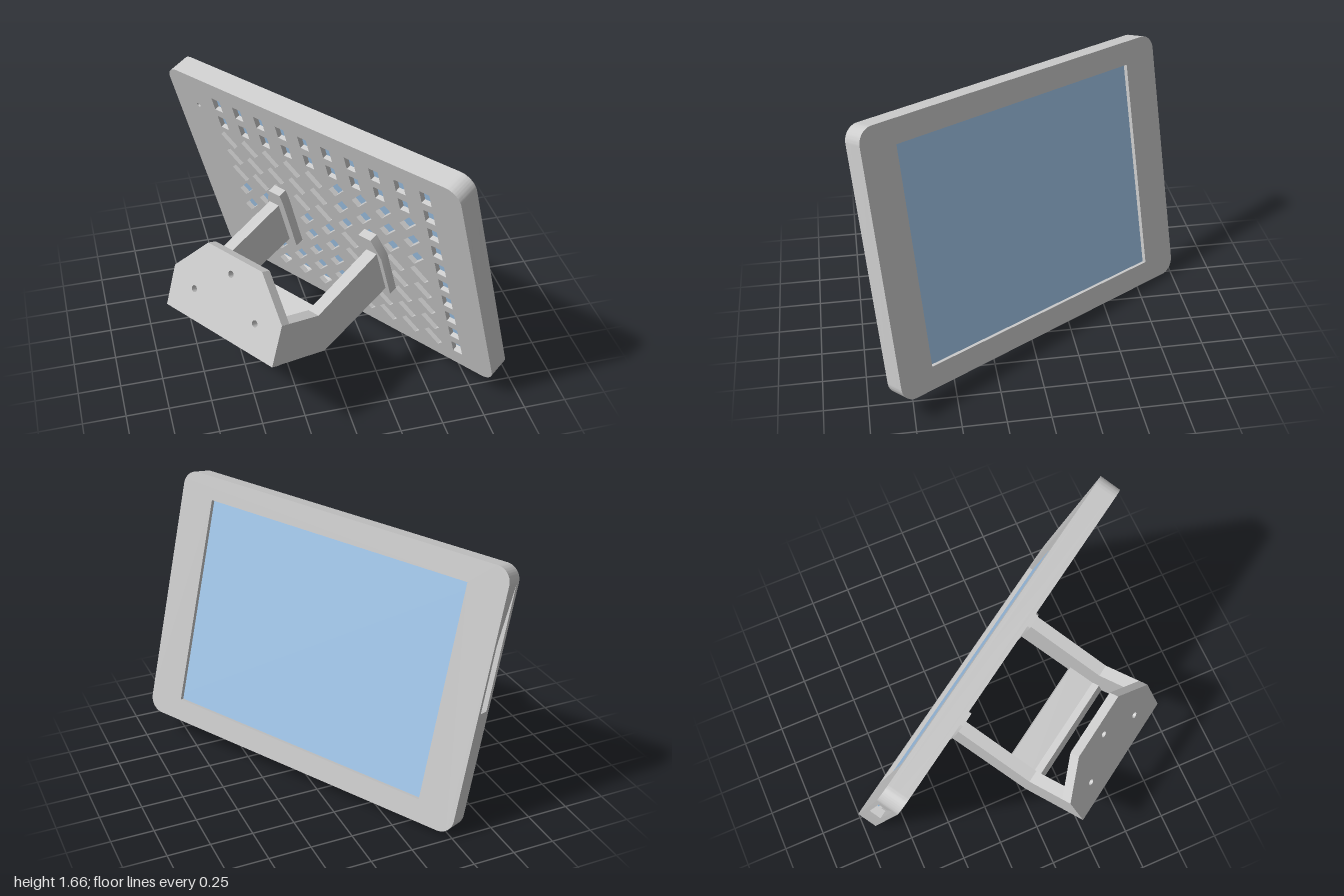
import * as THREE from 'three';
import { toCreasedNormals } from 'three/addons/utils/BufferGeometryUtils.js';

const GREY = new THREE.MeshStandardMaterial({ color: 0xcccccc });
const BLUE = new THREE.MeshStandardMaterial({ color: 0xa3c9ed });

// Case size: width, height, thickness, corner radius
const W = 2.17, H = 1.556, T = 0.13, R = 0.09;
const BEZEL = 0.025, BACK = 0.03;

function mesh(name, geometry, material = GREY) {
  const m = new THREE.Mesh(geometry, material);
  m.name = name;
  return m;
}

function extrude(shape, depth) {
  const g = new THREE.ExtrudeGeometry(shape, { depth, bevelEnabled: false, curveSegments: 10 });
  return toCreasedNormals(g, 0.5);
}

const polygon = (pts) => new THREE.Shape(pts.map(([x, y]) => new THREE.Vector2(x, y)));

// Rectangle path, optionally turned about its centre
function rect(cx, cy, w, h, angle = 0) {
  const c = Math.cos(angle), s = Math.sin(angle);
  return polygon([[-1, -1], [1, -1], [1, 1], [-1, 1]].map(([i, j]) => {
    const x = i * w / 2, y = j * h / 2;
    return [cx + x * c - y * s, cy + x * s + y * c];
  }));
}

function circle(cx, cy, r) {
  return new THREE.Path().absarc(cx, cy, r, 0, Math.PI * 2, false);
}

function roundedOutline() {
  const a = W / 2 - R, b = H / 2 - R;
  const s = new THREE.Shape();
  s.absarc(a, b, R, 0, Math.PI / 2, false);
  s.absarc(-a, b, R, Math.PI / 2, Math.PI, false);
  s.absarc(-a, -b, R, Math.PI, Math.PI * 1.5, false);
  s.absarc(a, -b, R, Math.PI * 1.5, Math.PI * 2, false);
  return s;
}

function makeCase() {
  const g = new THREE.Group();
  g.name = 'displayCase';

  // Front bezel with the screen opening
  const front = roundedOutline();
  front.holes.push(rect(-0.007, -0.002, 1.715, 1.284));
  const bezel = mesh('bezel', extrude(front, BEZEL));
  bezel.position.z = T / 2 - BEZEL;

  // Side wall: a ring left open at the port in the middle of one side
  const a = W / 2, b = H / 2, t = 0.05, p = 0.045;
  const ring = new THREE.Shape();
  ring.moveTo(a, p);
  ring.absarc(a - R, b - R, R, 0, Math.PI / 2, false);
  ring.absarc(-a + R, b - R, R, Math.PI / 2, Math.PI, false);
  ring.absarc(-a + R, -b + R, R, Math.PI, Math.PI * 1.5, false);
  ring.absarc(a - R, -b + R, R, Math.PI * 1.5, Math.PI * 2, false);
  [[a, -p], [a - t, -p], [a - t, -b + t], [-a + t, -b + t], [-a + t, b - t], [a - t, b - t], [a - t, p]]
    .forEach(([x, y]) => ring.lineTo(x, y));
  const wall = mesh('sideWall', extrude(ring, T - BEZEL - BACK));
  wall.position.z = -T / 2 + BACK;

  // Back panel: upright vents at the top and one edge, radiating ones elsewhere
  const back = roundedOutline();
  for (let j = 0; j < 10; j++) {
    for (let i = 0; i < 10; i++) {
      const x = -0.07 + (i - 4.5) * 0.172, y = 0.62 - j * 0.138;
      const upright = j < 2 || i === 0;
      const lean = (i > 4) === (j < 5) ? -Math.PI / 4 : Math.PI / 4;
      back.holes.push(upright ? rect(x, y, 0.065, 0.085) : rect(x, y, 0.055, 0.12, lean));
    }
  }
  back.holes.push(circle(0.89, 0.55, 0.014), circle(0.89, -0.6, 0.014));
  const panel = mesh('ventedBack', extrude(back, BACK));
  panel.position.z = -T / 2;

  // Screen behind the bezel
  const screen = mesh('screen', new THREE.BoxGeometry(W - 0.11, H - 0.11, 0.03), BLUE);
  screen.position.z = T / 2 - BEZEL - 0.015;

  g.add(bezel, wall, panel, screen);
  return g;
}

// Extrudes a (z, y) side profile across x, centred
function sideProfile(pts, width) {
  const g = extrude(polygon(pts), width);
  g.translate(0, 0, -width / 2);
  g.rotateY(-Math.PI / 2);
  return g;
}

function makeBracket() {
  const g = new THREE.Group();
  g.name = 'mountBracket';
  const half = 0.423, thick = 0.075;

  for (const side of [1, -1]) {
    // Arm: straight out from the case, then bent up to the wall plate
    const arm = mesh('arm', sideProfile(
      [[-0.06, -0.285], [-0.665, -0.272], [-1.0, -0.04], [-0.865, 0.165], [-0.63, 0], [-0.06, 0.012]], thick));
    arm.position.x = side * (half - thick / 2);

    // Foot pad with cut corners, against the back panel
    const foot = mesh('foot', extrude(polygon(
      [[0.3, -0.32], [0.45, -0.32], [0.45, -0.02], [0.4, 0.11], [0.31, 0.11], [0.3, 0.05]]
        .map(([x, y]) => [x * side, y])), 0.055));
    foot.position.z = -T / 2 - 0.055;
    g.add(arm, foot);
  }

  // Cross bar joining the arms at the bend
  g.add(mesh('crossBar', sideProfile(
    [[-0.48, -0.276], [-0.664, -0.271], [-0.72, -0.232], [-0.685, -0.182], [-0.645, -0.21], [-0.48, -0.215]],
    2 * half - 0.1)));

  // Wall plate with cut top corners and three screw holes
  const outline = polygon(
    [[-half, 0], [half, 0], [half, 0.246], [0.21, 0.468], [-0.21, 0.468], [-half, 0.246]]);
  outline.holes.push(circle(0.24, 0.175, 0.02), circle(-0.24, 0.175, 0.02), circle(0, 0.365, 0.02));
  const plate = mesh('wallPlate', extrude(outline, 0.06));
  plate.position.set(0, -0.025, -1.022);
  plate.rotation.x = 0.6435;
  g.add(plate);
  return g;
}

export function createModel() {
  const model = new THREE.Group();
  model.name = 'wallMountedDisplay';
  const tilted = new THREE.Group();
  tilted.name = 'tiltedDisplay';
  tilted.add(makeCase(), makeBracket());

  // Lean and turn of the whole assembly
  const x = new THREE.Vector3(-0.544, -0.0605, -0.837).normalize();
  const z = x.clone().cross(new THREE.Vector3(-0.238, 0.968, 0.083)).normalize();
  const y = z.clone().cross(x);
  tilted.quaternion.setFromRotationMatrix(new THREE.Matrix4().makeBasis(x, y, z));
  tilted.position.set(0.12, 0.83, 0);
  model.add(tilted);
  return model;
}
